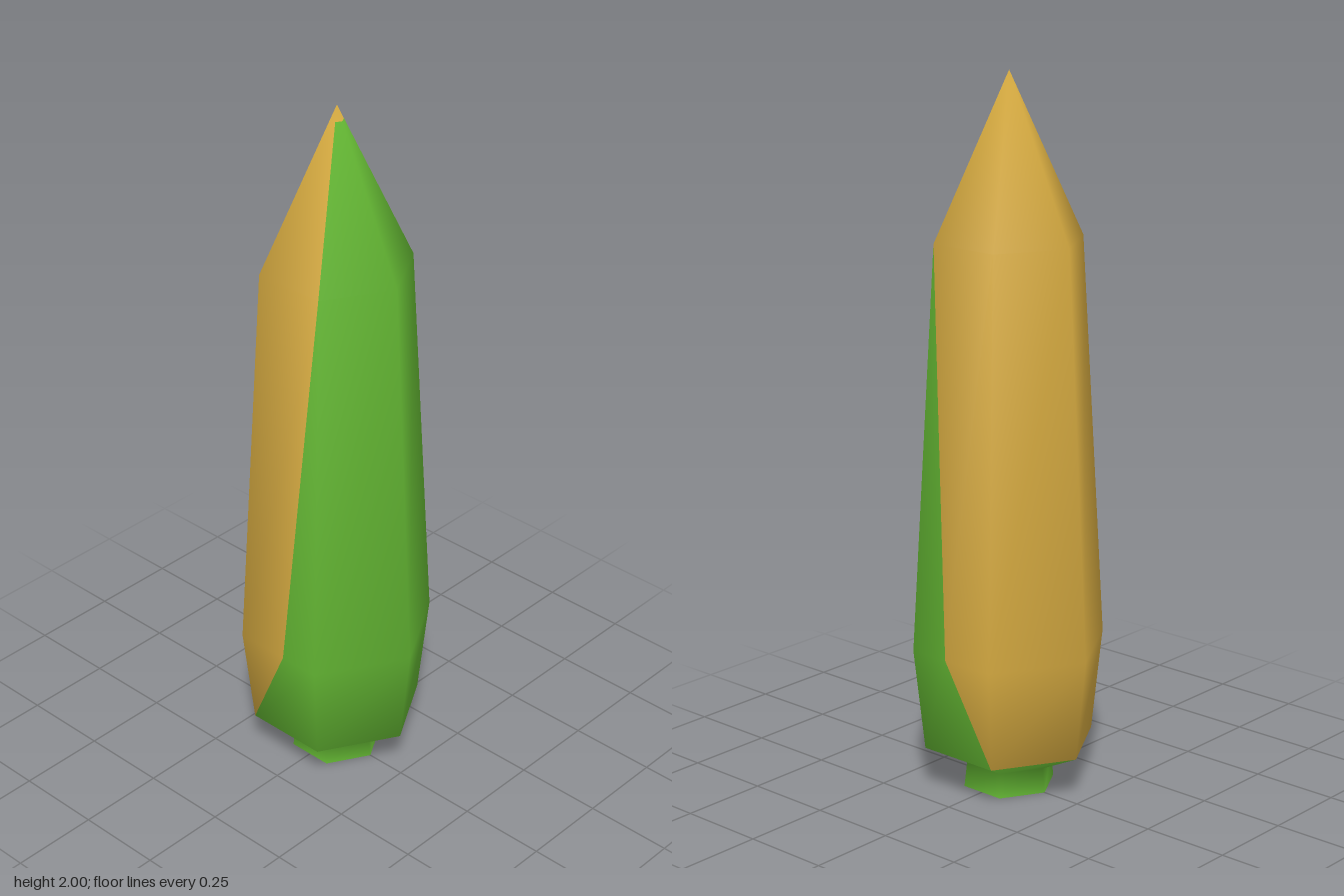
import * as THREE from 'three';

// Rings of the six-sided profile: y, radius, normal (outward, up),
// and split = where the colour seam crosses the front panel (1 = +x corner, 2 = -x corner)
const base = { y: 0, r: 0.132, n: [1, 0.1] };
const neck = { y: 0.07, r: 0.124, n: [0.88, -0.48] };
const hip = { y: 0.13, r: 0.245, n: [0.9, -0.43], split: 2 };
const belly = { y: 0.42, r: 0.277, n: [1, -0.03], split: 1.43 };
const shoulder = { y: 1.55, r: 0.21, n: [0.97, 0.25], split: 1 };
const tipRing = { y: 1.96, r: 0.0187, n: [0.087, 0.93], split: 1 };
const apex = { y: 2, r: 0, n: [0, 1] };

// Point on a unit hexagon; u counts corners from +x towards +z
function hexPoint(u) {
  const i = Math.floor(u), f = u - i;
  const corner = k => [Math.cos(k * Math.PI / 3), Math.sin(k * Math.PI / 3)];
  const a = corner(i), b = corner(i + 1);
  return [a[0] + (b[0] - a[0]) * f, a[1] + (b[1] - a[1]) * f];
}

// Skin the rings; columns(ring) lists the hexagon positions used on that ring
function skin(rings, columns) {
  const pos = [], nor = [], index = [];
  const n = columns(rings[0]).length;
  rings.forEach((ring, j) => {
    columns(ring).forEach((u, k) => {
      const [x, z] = hexPoint(u);
      const normal = new THREE.Vector3(x * ring.n[0], ring.n[1], z * ring.n[0]).normalize();
      pos.push(x * ring.r, ring.y, z * ring.r);
      nor.push(normal.x, normal.y, normal.z);
      if (j < rings.length - 1 && k < n - 1) {
        const a = j * n + k, d = a + n;
        index.push(a, d, a + 1, a + 1, d, d + 1);
      }
    });
  });
  const g = new THREE.BufferGeometry();
  g.setAttribute('position', new THREE.Float32BufferAttribute(pos, 3));
  g.setAttribute('normal', new THREE.Float32BufferAttribute(nor, 3));
  g.setIndex(index);
  return g;
}

export function createModel() {
  const group = new THREE.Group();
  group.name = 'crystalTree';
  const green = new THREE.MeshStandardMaterial({ color: 0x62b432 });
  green.name = 'leafGreen';
  const gold = new THREE.MeshStandardMaterial({ color: 0xd4a940 });
  gold.name = 'gold';

  const add = (name, geometry, material) => {
    const mesh = new THREE.Mesh(geometry, material);
    mesh.name = name;
    group.add(mesh);
    return mesh;
  };
  const fullTurn = () => [0, 1, 2, 3, 4, 5, 6];
  const bodyRings = [hip, belly, shoulder, tipRing];

  // Stem with flared underside
  add('stem', skin([base, neck, hip], fullTurn), green);
  const cap = add('stemBottom', new THREE.CircleGeometry(base.r, 6), gold);
  cap.rotation.x = Math.PI / 2;

  // Two-coloured foliage meeting along a slanted seam on the front and back
  add('foliageGreenSide', skin(bodyRings, r => [-r.split, -1, 0, 1, r.split]), green);
  add('foliageGoldSide', skin(bodyRings, r => [r.split, 2, 3, 4, 6 - r.split]), gold);

  // Pointed tip
  add('tip', skin([tipRing, apex], fullTurn), gold);
  return group;
}
